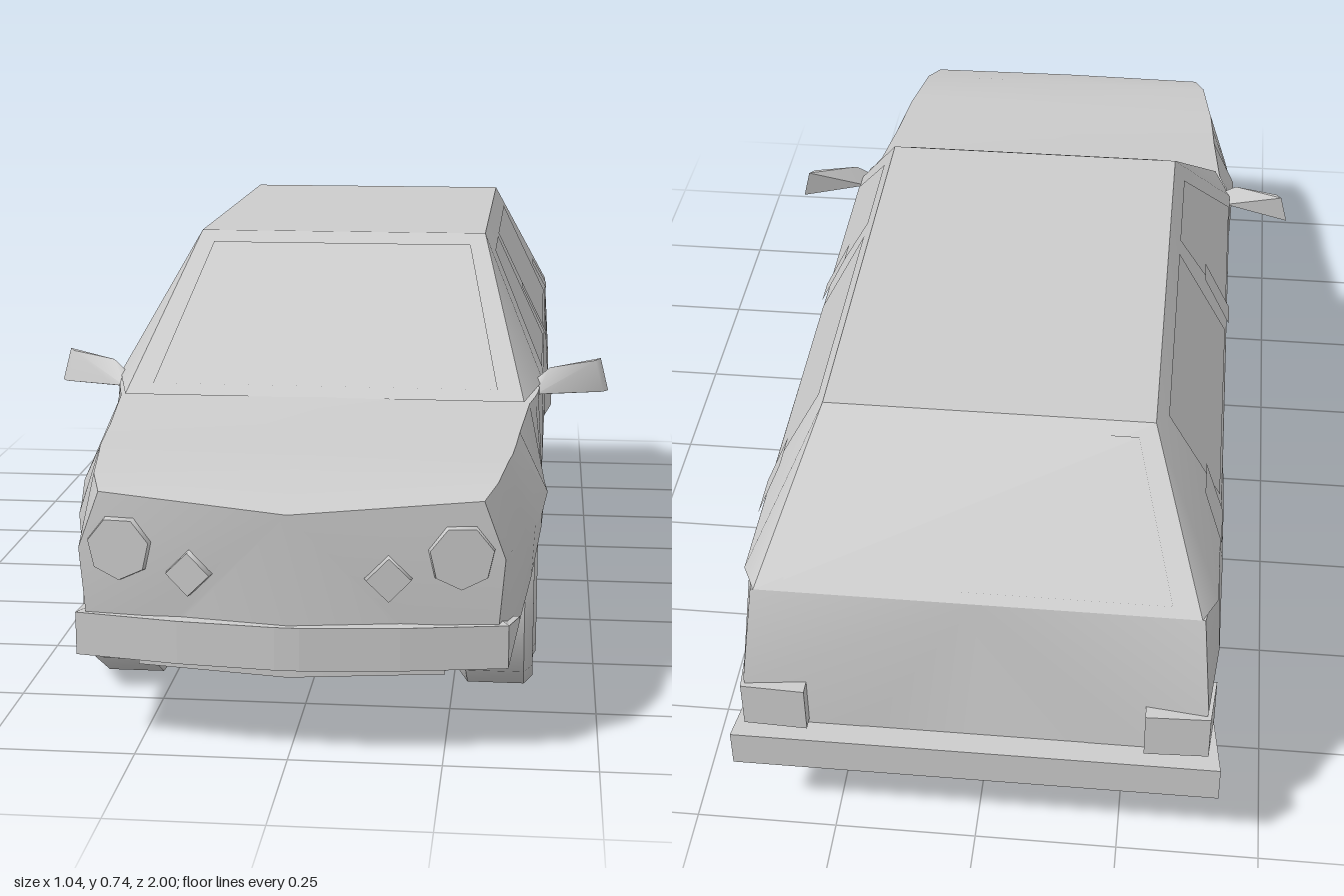
import * as THREE from 'three';
import { toCreasedNormals } from 'three/addons/utils/BufferGeometryUtils.js';
import { ConvexGeometry } from 'three/addons/geometries/ConvexGeometry.js';

const grey = new THREE.MeshStandardMaterial({ color: 0xcccccc });
const greyDouble = new THREE.MeshStandardMaterial({ color: 0xcccccc, side: THREE.DoubleSide });

function add(parent, name, geometry, material = grey) {
  const mesh = new THREE.Mesh(geometry, material);
  mesh.name = name;
  parent.add(mesh);
  return mesh;
}

const hull = (points) => toCreasedNormals(new ConvexGeometry(points.map((p) => new THREE.Vector3(...p))), 0.6);
const mirrored = (points) => points.flatMap(([x, y, z]) => [[x, y, z], [-x, y, z]]);

// Lower body: half sections joined from nose to tail, with the sill raised over the wheels.
// z, sill x, side x, shoulder x, shoulder y, centre y, sill y
const sections = [
  [0.95, 0.33, 0.345, 0.31, 0.425, 0.405, 0.15],
  [0.89, 0.345, 0.355, 0.33, 0.44, 0.442, 0.14],
  [0.78, 0.36, 0.375, 0.345, 0.45, 0.452, 0.14],
  [0.75, 0.385, 0.39, 0.35, 0.452, 0.455, 0.24],
  [0.69, 0.40, 0.40, 0.355, 0.455, 0.46, 0.31],
  [0.62, 0.405, 0.41, 0.36, 0.46, 0.465, 0.345],
  [0.46, 0.40, 0.405, 0.375, 0.475, 0.482, 0.31],
  [0.42, 0.39, 0.40, 0.385, 0.48, 0.485, 0.24],
  [0.40, 0.375, 0.40, 0.39, 0.485, 0.487, 0.14],
  [0.30, 0.375, 0.40, 0.398, 0.495, 0.495, 0.14],
  [-0.46, 0.375, 0.405, 0.40, 0.495, 0.495, 0.14],
  [-0.49, 0.39, 0.41, 0.40, 0.495, 0.495, 0.25],
  [-0.55, 0.40, 0.41, 0.40, 0.495, 0.495, 0.31],
  [-0.63, 0.41, 0.41, 0.40, 0.495, 0.495, 0.345],
  [-0.74, 0.405, 0.41, 0.40, 0.495, 0.495, 0.31],
  [-0.80, 0.39, 0.41, 0.40, 0.495, 0.495, 0.23],
  [-0.82, 0.375, 0.41, 0.40, 0.495, 0.495, 0.14],
  [-0.97, 0.37, 0.395, 0.38, 0.495, 0.495, 0.14],
];

function bodyGeometry() {
  const positions = [], index = [], n = 12, last = sections.length - 1;
  sections.forEach(([z, xb, xm, xs, ys, yc, a], i) => {
    const bulge = i === 0 ? 0.04 : 0;
    const lean = i === last ? 0.05 : 0;
    const half = [
      [0, yc, z + bulge + lean], [xs, ys, z + lean], [xm, Math.max(0.33, a + 0.01), z],
      [xb, a, z], [0.25, a, z], [0.25, 0.135, z], [0, 0.135, z + bulge],
    ];
    const other = half.slice(1, 6).reverse().map(([x, y, w]) => [-x, y, w]);
    positions.push(...[...half, ...other].flat());
  });
  for (let i = 0; i < last; i++) {
    for (let j = 0; j < n; j++) {
      const a = i * n + j, b = i * n + (j + 1) % n;
      index.push(a, b, b + n, a, b + n, a + n);
    }
  }
  // End caps, fanned from the top centre line of each side
  const tail = last * n;
  for (let j = 1; j < n - 1; j++) {
    index.push(0, j + 1, j, tail, tail + j, tail + j + 1);
  }
  const g = new THREE.BufferGeometry();
  g.setAttribute('position', new THREE.Float32BufferAttribute(positions, 3));
  g.setIndex(index);
  return toCreasedNormals(g, 0.65);
}

// Thin panel lying on a flat face; corners run bottom a, b then top b, a; uv pairs pick its outline.
function panel(corners, uvs, lift) {
  const [a, b, c, d] = corners.map((p) => new THREE.Vector3(...p));
  const normal = b.clone().sub(a).cross(d.clone().sub(a)).normalize().multiplyScalar(lift);
  const points = uvs.map(([u, v]) => a.clone().lerp(b, u).lerp(d.clone().lerp(c, u), v).add(normal));
  const g = new THREE.BufferGeometry().setFromPoints(points);
  g.setIndex([0, 1, 2, 0, 2, 3]);
  g.computeVertexNormals();
  return g;
}

// Bumper: plan outline extruded upward, ends narrowed to a point when asked
function bumper(outline, y, height, pointBelowZ = -9) {
  const shape = new THREE.Shape(mirrorOutline(outline).map(([x, z]) => new THREE.Vector2(x, -z)));
  const g = new THREE.ExtrudeGeometry(shape, { depth: height, bevelEnabled: false });
  g.rotateX(-Math.PI / 2).translate(0, y, 0);
  const p = g.attributes.position;
  for (let i = 0; i < p.count; i++) {
    if (p.getZ(i) < pointBelowZ) p.setY(i, y + height * 0.55 + (p.getY(i) - y - height / 2) * 0.1);
  }
  g.computeVertexNormals();
  return g;
}
const mirrorOutline = (pts) => [...pts, ...pts.slice().reverse().map(([x, z]) => [-x, z])];

export function createModel() {
  const car = new THREE.Group();
  car.name = 'hatchback';
  add(car, 'body', bodyGeometry());

  // Cabin
  add(car, 'cabin', hull(mirrored([
    [0.365, 0.48, 0.47], [0.398, 0.495, 0.35], [0.40, 0.495, -0.87], [0.375, 0.495, -0.92],
    [0.28, 0.735, 0.10], [0.28, 0.735, -0.71],
  ])));
  const box = [[0.06, 0.06], [0.94, 0.06], [0.94, 0.92], [0.06, 0.92]];
  add(car, 'windscreen', panel([[-0.365, 0.48, 0.47], [0.365, 0.48, 0.47], [0.28, 0.735, 0.10], [-0.28, 0.735, 0.10]], box, 0.002), greyDouble);
  add(car, 'rearWindow', panel([[0.375, 0.495, -0.92], [-0.375, 0.495, -0.92], [-0.28, 0.735, -0.71], [0.28, 0.735, -0.71]], box, 0.002), greyDouble);

  for (const s of [1, -1]) {
    const side = s > 0 ? 'left' : 'right';
    const face = [[s * 0.40, 0.495, 0.35], [s * 0.40, 0.495, -0.87], [s * 0.28, 0.735, -0.71], [s * 0.28, 0.735, 0.10]];
    const out = s * 0.002;
    // Side glass and the pillars between it
    add(car, side + 'FrontWindow', panel(face, [[0.04, 0.05], [0.33, 0.05], [0.3, 0.85], [0.06, 0.85]], out), greyDouble);
    add(car, side + 'RearWindow', panel(face, [[0.4, 0.05], [0.8, 0.05], [0.9, 0.85], [0.35, 0.85]], out), greyDouble);
    add(car, side + 'MiddlePillar', panel(face, [[0.335, 0.02], [0.38, 0.02], [0.34, 0.45], [0.29, 0.45]], out * 3), greyDouble);
    add(car, side + 'RearPillar', panel(face, [[0.83, 0.03], [0.9, 0.03], [0.88, 0.3], [0.81, 0.3]], out * 3), greyDouble);

    // Door mirror swept outward and back
    add(car, side + 'Mirror', hull([
      [s * 0.385, 0.475, 0.38], [s * 0.385, 0.50, 0.36], [s * 0.39, 0.48, 0.34],
      [s * 0.41, 0.475, 0.37], [s * 0.41, 0.52, 0.35],
      [s * 0.52, 0.47, 0.305], [s * 0.505, 0.53, 0.30], [s * 0.51, 0.47, 0.32], [s * 0.495, 0.528, 0.315],
    ]));

    // Headlamp and smaller inner lamp
    for (const [name, x, y, z, r, sides] of [
      ['Headlamp', 0.275, 0.335, 0.955, 0.058, 7], ['InnerLamp', 0.16, 0.30, 0.972, 0.04, 4],
    ]) {
      const lamp = add(car, side + name, new THREE.CylinderGeometry(r * 0.9, r, 0.025, sides));
      lamp.rotation.set(Math.PI / 2, 0, -s * 0.12);
      lamp.position.set(s * x, y, z);
    }

    // Tail lamp wrapped round the rear corner
    add(car, side + 'TailLamp', hull([0.23, 0.32].flatMap((y) => [
      [s * 0.29, y, -0.982], [s * 0.40, y, -0.978], [s * 0.408, y, -0.89], [s * 0.29, y, -0.94],
    ])));

    // Wheels: a nine-sided tyre with bevelled shoulders and a hub cap
    for (const [end, z] of [['Front', 0.585], ['Rear', -0.65]]) {
      const wheel = new THREE.Group();
      wheel.name = side + end + 'Wheel';
      wheel.position.set(s * 0.325, 0.166, z);
      wheel.rotation.z = -s * Math.PI / 2;
      const profile = [[0, -0.065], [0.15, -0.065], [0.17, -0.05], [0.17, 0.05], [0.155, 0.065], [0, 0.066]];
      const tyre = new THREE.LatheGeometry(profile.map(([r, h]) => new THREE.Vector2(r, h)), 9);
      add(wheel, 'tyre', toCreasedNormals(tyre, 0.75));
      const cap = add(wheel, 'hubCap', new THREE.CylinderGeometry(0.11, 0.12, 0.006, 9));
      cap.position.y = 0.067;
      car.add(wheel);
    }
  }

  // Bumpers
  add(car, 'frontBumper', bumper([[0.34, 0.93], [0.345, 0.82], [0.368, 0.82], [0.352, 0.955], [0.18, 0.985], [0.02, 1.0]], 0.15, 0.072, 0.85));
  add(car, 'rearBumper', bumper([[0.385, -0.955], [0.38, -0.87], [0.405, -0.87], [0.422, -1.0]], 0.15, 0.07));
  return car;
}
